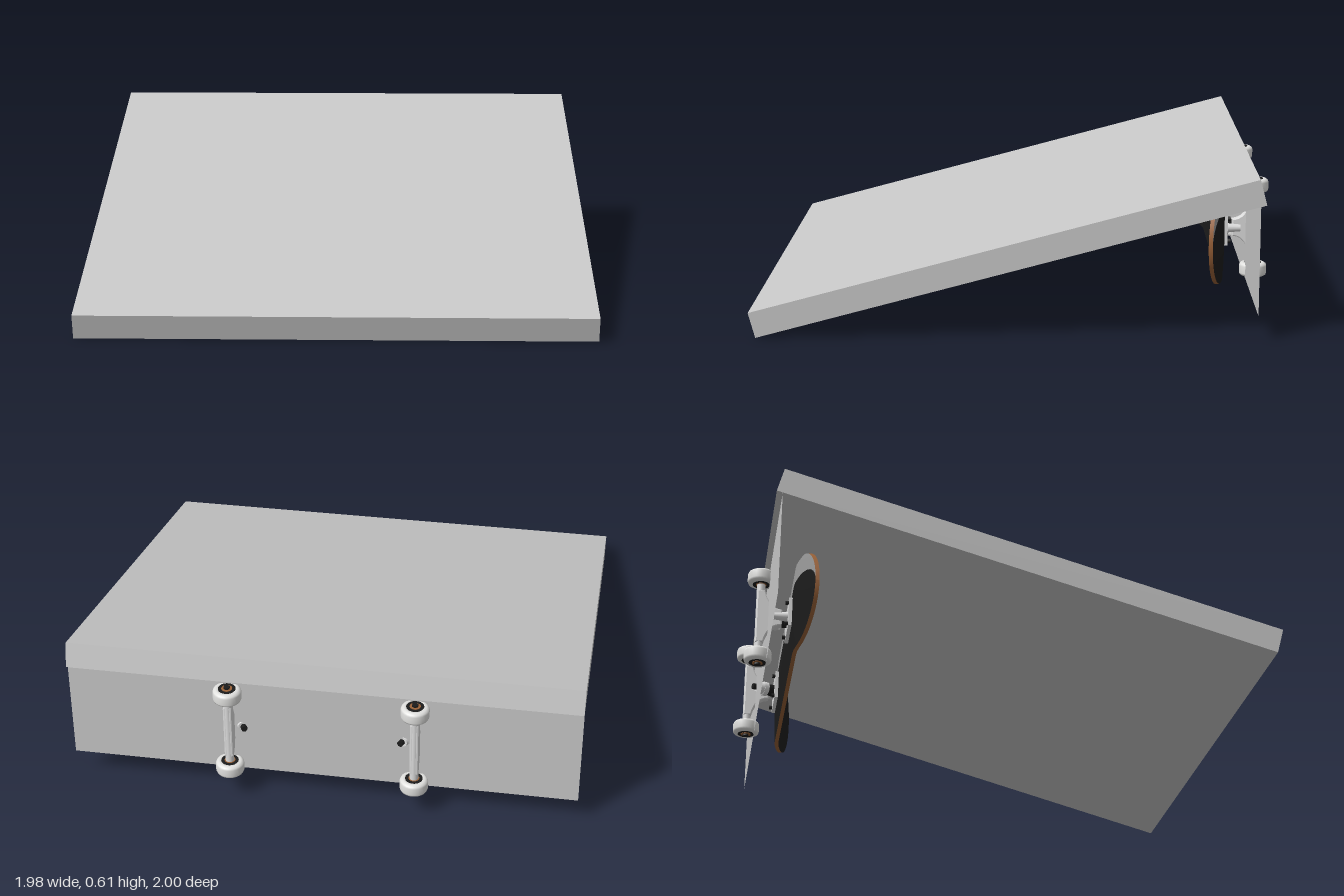
import * as THREE from 'three';
import { ParametricGeometry } from 'three/addons/geometries/ParametricGeometry.js';

const mat = (name, color, side = THREE.FrontSide) => {
  const m = new THREE.MeshStandardMaterial({ color, side });
  m.name = name;
  return m;
};

export function createModel() {
  const model = new THREE.Group();
  model.name = 'rampWithSkateboard';

  const concrete = mat('ramp grey', 0xc8c8c8, THREE.DoubleSide);
  const metal = mat('light metal', 0xdcdcdc);
  const white = mat('wheel white', 0xe2e2e0);
  const black = mat('black', 0x1c1c1c, THREE.DoubleSide);
  const wood = mat('wood brown', 0x9a6238, THREE.DoubleSide);
  const grey = mat('deck stripe grey', 0x9c9c9c, THREE.DoubleSide);

  const add = (parent, name, geometry, material, x = 0, y = 0, z = 0) => {
    const mesh = new THREE.Mesh(geometry, material);
    mesh.name = name;
    mesh.position.set(x, y, z);
    parent.add(mesh);
    return mesh;
  };

  // Sloping slab and the thin sheet closing its high end
  const slab = add(model, 'rampSlab', new THREE.BoxGeometry(1.98, 0.1, 1.978), concrete, 0, 0.31, 0.033);
  slab.rotation.x = 0.265;
  add(model, 'backSheet', new THREE.PlaneGeometry(1.98, 0.47), concrete, 0, 0.333, -0.912);

  // Skateboard standing on its long edge, wheels facing back
  const board = new THREE.Group();
  board.name = 'skateboard';
  board.position.y = 0.3;
  model.add(board);

  // Deck: rounded ends that kick forward, slight concave across the width
  const HALF = 0.72, END = 0.2, WIDTH = 0.19, THICK = 0.016;
  const halfWidth = (x) => {
    const d = Math.max(0, (Math.abs(x) - (HALF - END)) / END);
    return WIDTH * Math.sqrt(Math.max(0, 1 - d * d));
  };
  const deckZ = (x, y) => {
    const k = Math.max(0, (Math.abs(x) - 0.46) / (HALF - 0.46));
    return -0.822 + 0.065 * Math.pow(k, 1.3) + 0.006 * (y / WIDTH) ** 2;
  };
  const face = (v0, v1, dz, dir) => {
    const g = new ParametricGeometry((u, v, p) => {
      const x = -dir * HALF * Math.cos(Math.PI * u);
      const y = halfWidth(x) * (v0 + (v1 - v0) * v);
      p.set(x, y, deckZ(x, y) + dz);
    }, 48, 10);
    g.computeVertexNormals();
    return g;
  };
  add(board, 'gripTop', face(-1, 1, THICK, 1), black);
  add(board, 'deckUnderside', face(-1, 0.55, 0, -1), black);
  add(board, 'deckUndersideStripe', face(0.55, 1, 0, -1), grey);
  const rim = new ParametricGeometry((u, v, p) => {
    const x = -HALF * Math.cos(2 * Math.PI * u);
    const y = halfWidth(x) * (u < 0.5 ? -1 : 1);
    p.set(x, y, deckZ(x, y) + THICK * v);
  }, 96, 1);
  rim.computeVertexNormals();
  add(board, 'deckEdge', rim, wood);

  // Hanger web, drawn in the y-z plane and given depth along x
  const web = new THREE.Shape();
  web.moveTo(-0.03, -0.862);
  web.quadraticCurveTo(-0.035, -0.915, -0.11, -0.932);
  web.lineTo(-0.11, -0.955);
  web.lineTo(0.11, -0.955);
  web.lineTo(0.11, -0.932);
  web.quadraticCurveTo(0.035, -0.915, 0.03, -0.862);
  const webGeo = new THREE.ExtrudeGeometry(web, {
    depth: 0.022, bevelThickness: 0.006, bevelSize: 0.005, bevelSegments: 2, curveSegments: 8,
  });
  webGeo.translate(0, 0, -0.011);
  webGeo.applyMatrix4(new THREE.Matrix4().makeBasis(
    new THREE.Vector3(0, 1, 0), new THREE.Vector3(0, 0, 1), new THREE.Vector3(1, 0, 0)));

  // Wheel profile with rounded shoulders and a recessed hub
  const wheelGeo = new THREE.LatheGeometry([
    [0, -0.022], [0.028, -0.022], [0.034, -0.027], [0.044, -0.027], [0.052, -0.022], [0.055, -0.014],
    [0.055, 0.014], [0.052, 0.022], [0.044, 0.027], [0.034, 0.027], [0.028, 0.022], [0, 0.022],
  ].map(([r, y]) => new THREE.Vector2(r, y)), 28);

  const makeTruck = (name) => {
    const truck = new THREE.Group();
    truck.name = name;
    add(truck, 'basePlate', new THREE.BoxGeometry(0.17, 0.12, 0.014), metal, 0.01, 0, -0.829);
    for (const x of [-0.055, 0.075]) for (const y of [-0.045, 0.045]) {
      const bolt = add(truck, 'mountingBolt', new THREE.CylinderGeometry(0.009, 0.009, 0.014, 6), black, x, y, -0.841);
      bolt.rotation.x = Math.PI / 2;
    }
    add(truck, 'hangerWeb', webGeo, metal);
    add(truck, 'hangerTube', new THREE.CylinderGeometry(0.017, 0.017, 0.29, 16), metal, 0, 0, -0.945);
    add(truck, 'axle', new THREE.CylinderGeometry(0.007, 0.007, 0.412, 10), metal, 0, 0, -0.945);

    // Pivot cup on the outer side
    const pivot = add(truck, 'pivot', new THREE.CylinderGeometry(0.014, 0.02, 0.06, 12), metal, -0.022, 0, -0.86);
    pivot.rotation.x = -Math.PI / 2;

    // Slanted kingpin stack on the inner side
    const kingpin = new THREE.Group();
    kingpin.name = 'kingpin';
    kingpin.position.set(0.02, 0, -0.835);
    kingpin.quaternion.setFromUnitVectors(
      new THREE.Vector3(0, 1, 0), new THREE.Vector3(0.38, 0, -0.92).normalize());
    add(kingpin, 'lowerBushing', new THREE.CylinderGeometry(0.023, 0.026, 0.03, 16), black, 0, 0.02);
    add(kingpin, 'hangerRing', new THREE.CylinderGeometry(0.03, 0.03, 0.02, 16), metal, 0, 0.045);
    add(kingpin, 'upperBushing', new THREE.CylinderGeometry(0.021, 0.028, 0.028, 16), metal, 0, 0.069);
    add(kingpin, 'kingpinNut', new THREE.CylinderGeometry(0.013, 0.013, 0.018, 6), black, 0, 0.092);
    truck.add(kingpin);

    // Wheels with dark bearings and brown inner rings on both faces
    for (const side of [-1, 1]) {
      const wheel = new THREE.Group();
      wheel.name = 'wheel';
      wheel.position.set(0, side * 0.172, -0.945);
      add(wheel, 'tyre', wheelGeo, white);
      add(wheel, 'hub', new THREE.CylinderGeometry(0.034, 0.034, 0.055, 24), black);
      add(wheel, 'bearingRing', new THREE.CylinderGeometry(0.021, 0.021, 0.058, 20), wood);
      add(wheel, 'axleNut', new THREE.CylinderGeometry(0.013, 0.013, 0.01, 6), black, 0, side * 0.031);
      truck.add(wheel);
    }
    return truck;
  };
  for (const side of [-1, 1]) {
    const truck = makeTruck(side < 0 ? 'rightTruck' : 'leftTruck');
    truck.position.x = side * 0.36;
    if (side > 0) truck.rotation.z = Math.PI;
    board.add(truck);
  }
  return model;
}
